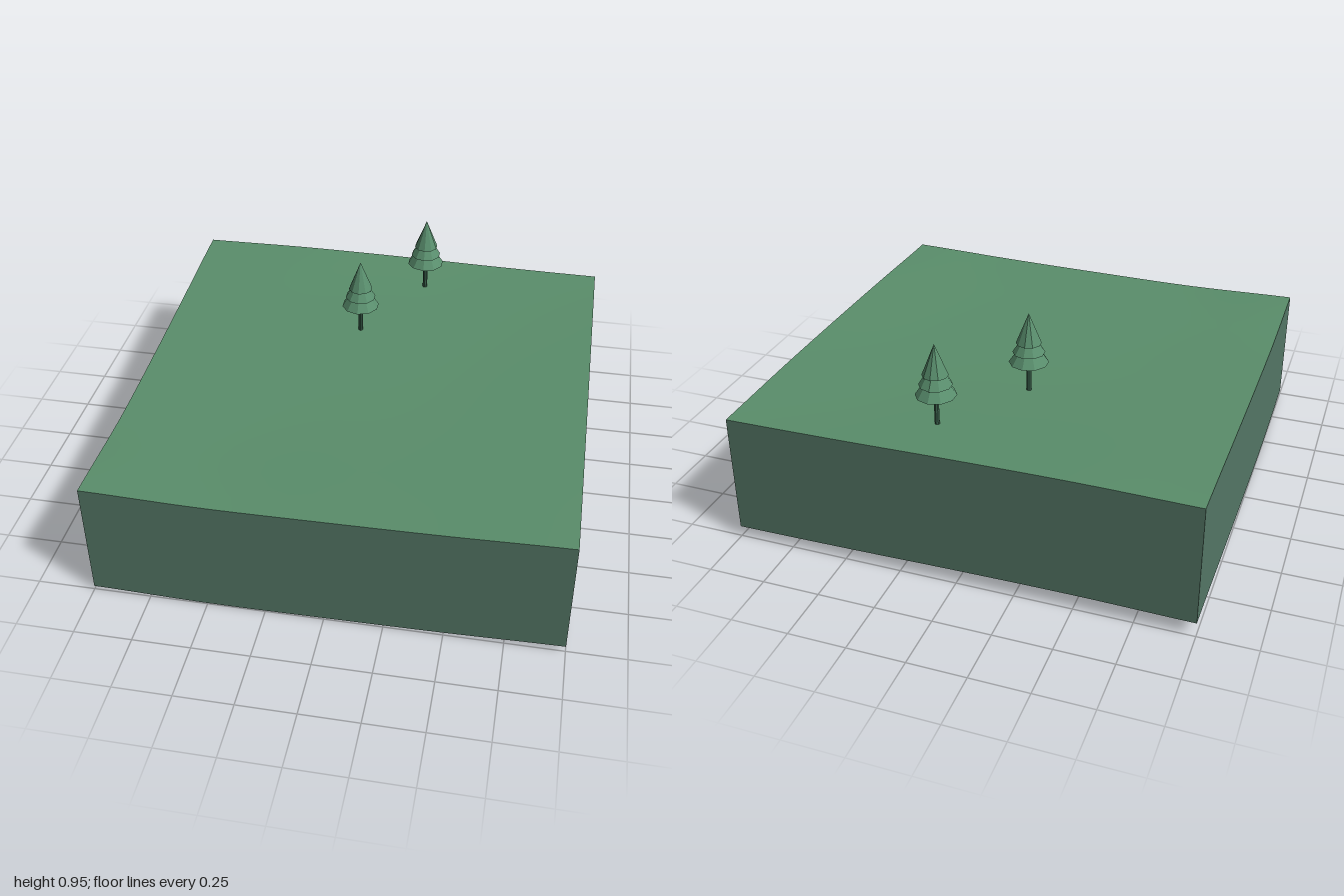
import * as THREE from 'three';

const DEPTH = 0.535; // height of the side walls
const STEPS = 24;

// Heights of the wall feet along each edge, sampled from -1 to +1
const edges = {
  left: [0.068, 0.042, 0.017, 0.003, 0.02],
  right: [0.052, 0.056, 0.052, 0.043, 0.03],
  back: [0.068, 0.073, 0.068, 0.058, 0.052],
  front: [0.02, 0.007, 0.01, 0.017, 0.03],
};
const curves = Object.fromEntries(Object.entries(edges).map(([name, h]) =>
  [name, new THREE.SplineCurve(h.map((y, i) => new THREE.Vector2(i * 0.5 - 1, y)))]));
const edge = (name, t) => curves[name].getPoint(THREE.MathUtils.clamp(t, 0, 1)).y;

// Foot height anywhere: blend of the four edges with a slight dip in the middle
function foot(x, z) {
  const u = (x + 1) / 2, v = (z + 1) / 2, mix = THREE.MathUtils.lerp;
  const across = mix(edge('left', v), edge('right', v), u);
  const along = mix(edge('back', u), edge('front', u), v);
  const corners = mix(mix(edges.left[0], edges.right[0], u), mix(edges.left[4], edges.right[4], u), v);
  const dip = 0.006 * 16 * u * (1 - u) * v * (1 - v);
  return across + along - corners - dip;
}
const ground = (x, z) => foot(x, z) + DEPTH;

function material(name, color, extra = {}) {
  return Object.assign(new THREE.MeshStandardMaterial({ color, ...extra }), { name });
}

function addMesh(parent, name, geometry, mat, x = 0, y = 0, z = 0) {
  const mesh = new THREE.Mesh(geometry, mat);
  mesh.name = name;
  mesh.position.set(x, y, z);
  parent.add(mesh);
  return mesh;
}

// Gently rolling lawn
function lawnGeometry() {
  const geo = new THREE.PlaneGeometry(2, 2, STEPS, STEPS).rotateX(-Math.PI / 2);
  const p = geo.attributes.position;
  for (let i = 0; i < p.count; i++) p.setY(i, ground(p.getX(i), p.getZ(i)));
  geo.computeVertexNormals();
  return geo;
}

// Wall on one side, following the lawn at its top and bottom
function wallGeometry(angle) {
  const geo = new THREE.PlaneGeometry(2, DEPTH, STEPS, 1).translate(0, 0, 1).rotateY(angle);
  const p = geo.attributes.position;
  for (let i = 0; i < p.count; i++) {
    p.setY(i, foot(p.getX(i), p.getZ(i)) + (p.getY(i) > 0 ? DEPTH : 0));
  }
  geo.computeVertexNormals();
  return geo;
}

export function createModel() {
  const model = new THREE.Group();
  model.name = 'landPlotWithTrees';
  const grass = material('grass', 0x5a8e6b, { side: THREE.DoubleSide });
  const earth = material('earth', 0x557766, { side: THREE.DoubleSide });
  const needles = material('needles', 0x5a8f6e, { flatShading: true });
  const bark = material('bark', 0x3b604c, { flatShading: true });

  addMesh(model, 'lawn', lawnGeometry(), grass);
  ['front', 'left', 'back', 'right'].forEach((side, i) =>
    addMesh(model, side + 'Wall', wallGeometry(i * Math.PI / 2), earth));

  // Tiers of the trees: base height, radius, cone height
  const tiers = [[0.14, 0.086, 0.125], [0.187, 0.07, 0.11], [0.23, 0.055, 0.138]];
  for (const [x, z] of [[-0.085, -0.335], [0.165, -0.75]]) {
    const tree = new THREE.Group();
    tree.name = 'tree';
    tree.position.set(x, ground(x, z) - 0.003, z);
    addMesh(tree, 'trunk', new THREE.CylinderGeometry(0.011, 0.011, 0.16, 8), bark, 0, 0.08, 0);
    for (const [y, r, h] of tiers) {
      addMesh(tree, 'foliageTier', new THREE.ConeGeometry(r, h, 10), needles, 0, y + h / 2, 0);
    }
    model.add(tree);
  }
  return model;
}
